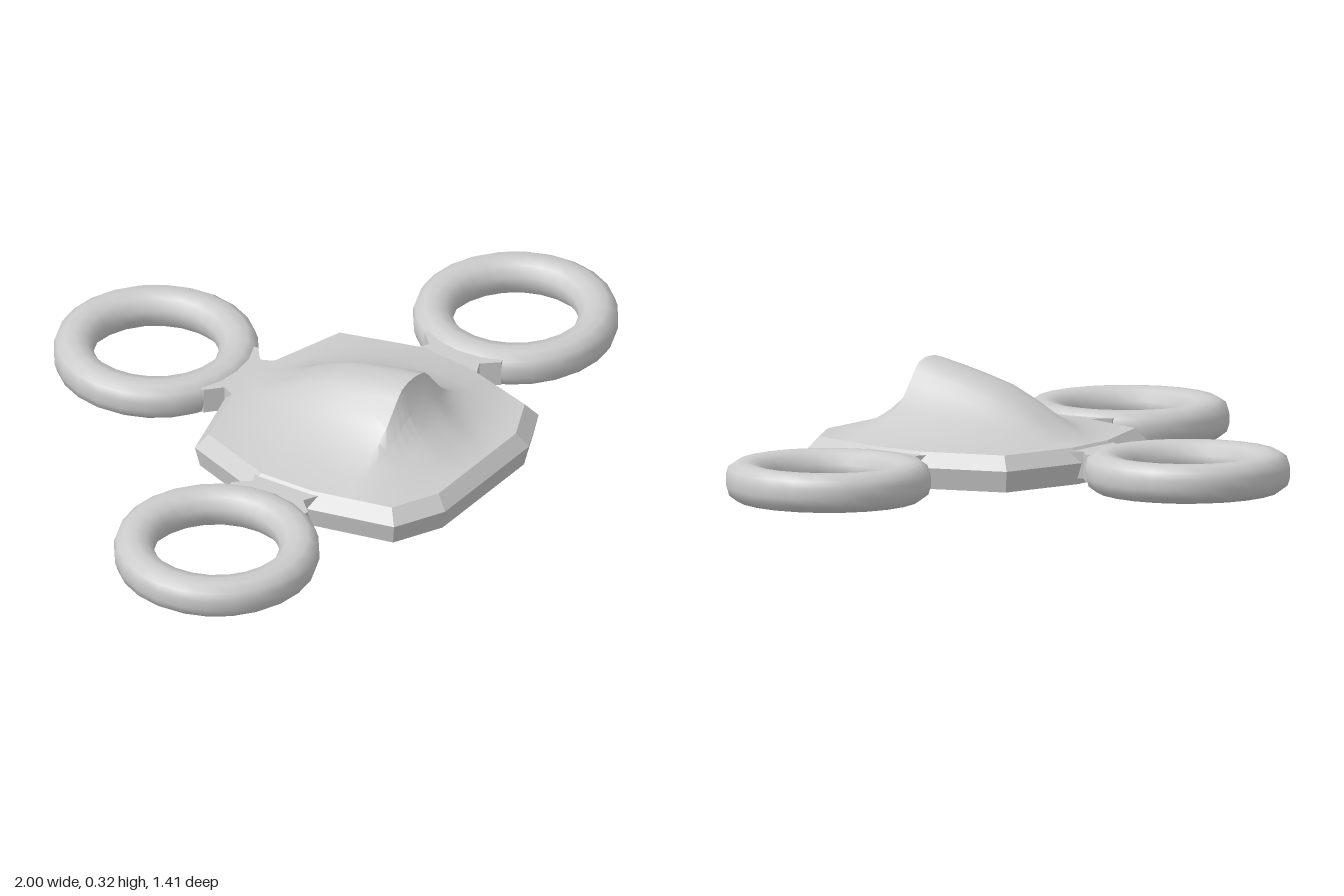
import * as THREE from 'three';
import { toCreasedNormals } from 'three/addons/utils/BufferGeometryUtils.js';

const CZ = 0.29; // z of the hull centre

// Surface through rows of [x, y, z] points
function loft(rows, crease) {
  const n = rows[0].length, index = [];
  for (let i = 0; i < rows.length - 1; i++) {
    for (let j = 0; j < n - 1; j++) {
      const a = i * n + j, b = a + n;
      index.push(a, b, a + 1, b, b + 1, a + 1);
    }
  }
  const g = new THREE.BufferGeometry();
  g.setAttribute('position', new THREE.Float32BufferAttribute(rows.flat(2), 3));
  g.setIndex(index);
  return toCreasedNormals(g, crease);
}

const lathe = (pts, segments) => toCreasedNormals(
  new THREE.LatheGeometry(pts.map(p => new THREE.Vector2(...p)), segments), 0.75);

export function createModel() {
  const model = new THREE.Group();
  model.name = 'ringedCraft';
  const hullGrey = new THREE.MeshStandardMaterial({ color: 0xcccccc });
  hullGrey.name = 'hullGrey';
  const add = (name, geometry, parent = model) => {
    const mesh = new THREE.Mesh(geometry, hullGrey);
    mesh.name = name;
    parent.add(mesh);
    return mesh;
  };

  // Hull outline in x, z: right half from front to back, then mirrored
  const half = [[0.2, 0.7], [0.345, 0.63], [0.41, 0.38], [0.42, 0.2], [0.34, -0.05], [0.09, -0.125]];
  const outline = [...half, ...half.map(([x, z]) => [-x, z]).reverse()];
  const scaled = (s, pts = outline) => pts.map(([x, z]) => [x * s, CZ + (z - CZ) * s]);

  // Bevelled rim
  const ring = (s, y) => {
    const pts = scaled(s);
    return [...pts, pts[0]].map(([x, z]) => [x, y, z]);
  };
  add('hullRim', loft([ring(0.92, 0.125), ring(1, 0.085), ring(0.97, 0.025)], 0.2));

  // Domed deck, swelling to a peak with a steep nose in front
  const edge = scaled(0.92, half);
  const halfWidth = z => {
    for (let i = 0; i < edge.length - 1; i++) {
      const [x0, z0] = edge[i], [x1, z1] = edge[i + 1];
      if (z <= z0 && z >= z1) return x0 + (x1 - x0) * (z0 - z) / (z0 - z1);
    }
    return z > CZ ? edge[0][0] : edge[edge.length - 1][0];
  };
  const peaks = [ // z, peak height
    [edge[5][1], 0.125], [edge[4][1], 0.138], [0.05, 0.182], [0.13, 0.23], [0.21, 0.265],
    [0.3, 0.29], [edge[2][1], 0.308], [0.45, 0.325], [0.475, 0.238], [0.53, 0.187],
    [edge[1][1], 0.135], [edge[0][1], 0.125],
  ];
  const across = [[0, 1], [0.07, 0.99], [0.15, 0.95], [0.21, 0.84], [0.28, 0.68], [0.36, 0.5],
    [0.46, 0.36], [0.58, 0.23], [0.75, 0.1], [1, 0]];
  const sections = [...across.slice(1).reverse().map(([t, w]) => [-t, w]), ...across];
  add('deck', loft(peaks.map(([z, h]) => sections.map(([t, w]) => [
    t * halfWidth(z),
    0.125 + (h - 0.125) * (z > 0.46 ? Math.pow(w, 0.7) : w),
    z,
  ])), 0.6));

  // Flat underside around the round foot
  const base = new THREE.Shape(scaled(0.97).map(p => new THREE.Vector2(...p)));
  base.holes.push(new THREE.Path().absarc(0, CZ, 0.295, 0, Math.PI * 2, true));
  add('underside', new THREE.ShapeGeometry(base, 16).rotateX(Math.PI / 2).translate(0, 0.025, 0));

  // Dished foot
  add('foot', lathe([[0, 0.02], [0.22, 0.02], [0.25, 0], [0.31, 0.027]].map(([r, y]) => [r, y]), 32))
    .position.z = CZ;

  // Three ring pods on waisted arms: left, back and right
  const tube = [[0.175, 0.065], [0.2, 0.03], [0.225, 0.025], [0.255, 0.025], [0.278, 0.042],
    [0.285, 0.065], [0.285, 0.092], [0.278, 0.114], [0.255, 0.13], [0.225, 0.132],
    [0.195, 0.124], [0.175, 0.095], [0.175, 0.065]];
  const side = [[0.33, 0.12], [0.38, 0.105], [0.42, 0.085], [0.46, 0.13], [0.51, 0.12]];
  const armShape = new THREE.Shape(
    [...side, ...side.map(([x, z]) => [x, -z]).reverse()].map(p => new THREE.Vector2(...p)));
  const armGeometry = new THREE.ExtrudeGeometry(armShape, { depth: 0.075, bevelEnabled: false })
    .rotateX(Math.PI / 2).translate(0, 0.117, 0);
  const ringGeometry = lathe(tube, 24);
  ['left', 'back', 'right'].forEach((name, i) => {
    const pod = new THREE.Group();
    pod.name = name + 'Pod';
    pod.position.z = CZ;
    pod.rotation.y = i * Math.PI / 2;
    add(name + 'Arm', armGeometry, pod);
    add(name + 'Ring', ringGeometry, pod).position.x = 0.713;
    model.add(pod);
  });

  return model;
}
